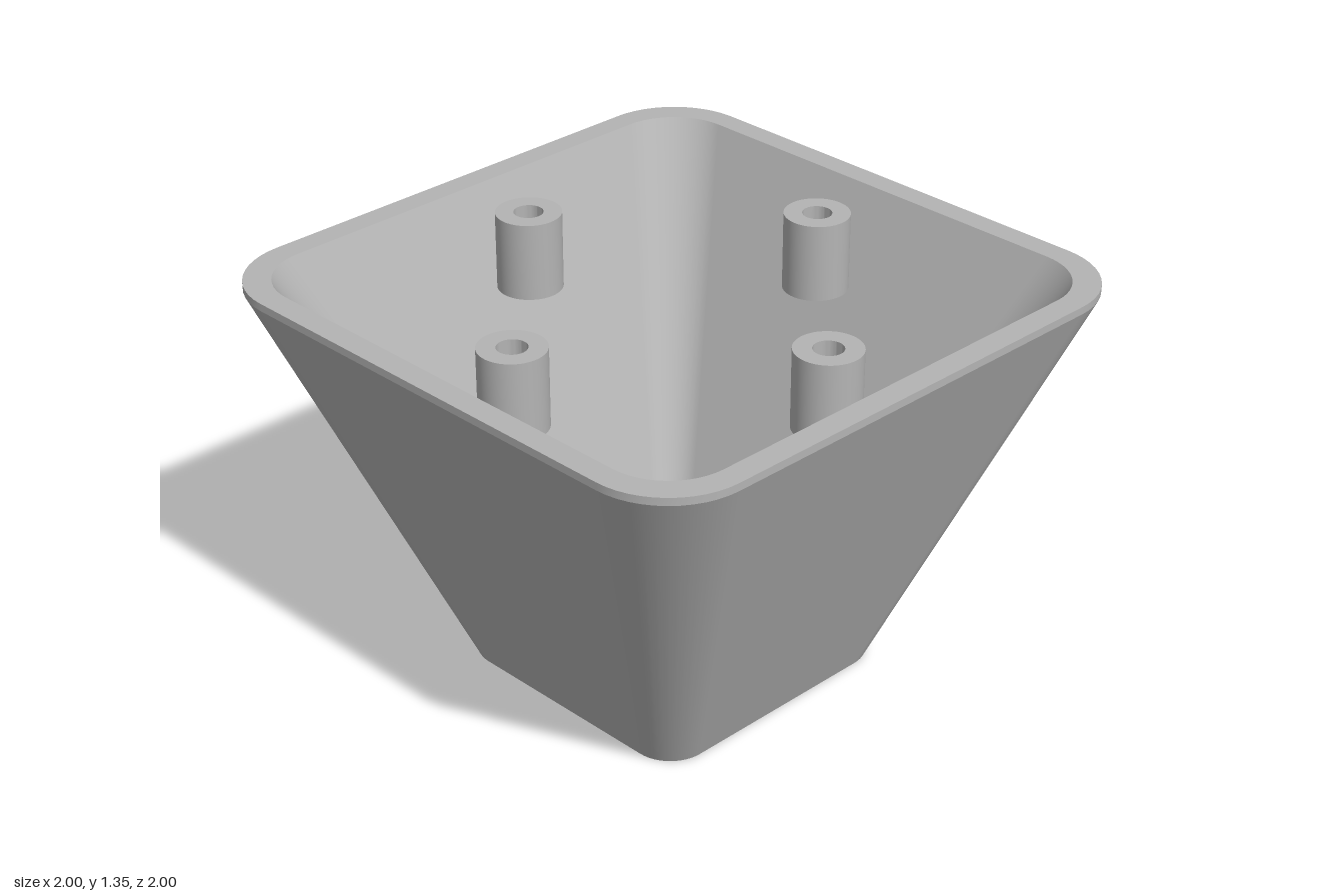
import * as THREE from 'three';
import { toCreasedNormals } from 'three/addons/utils/BufferGeometryUtils.js';

const HEIGHT = 1.35;
const CORNER_STEPS = 12;

// Rounded square ring at height y: half = half width, r = corner radius
function ring(half, r, y) {
  const points = [];
  for (let k = 0; k < 4; k++) {
    const cx = (k === 0 || k === 3 ? 1 : -1) * (half - r);
    const cz = (k < 2 ? 1 : -1) * (half - r);
    for (let j = 0; j <= CORNER_STEPS; j++) {
      const a = (k + j / CORNER_STEPS) * Math.PI / 2;
      points.push([cx + r * Math.cos(a), y, cz + r * Math.sin(a)]);
    }
  }
  return points;
}

// Closed band of faces between two rings
function band(from, to, flat = false) {
  const n = from.length;
  const index = [];
  for (let i = 0; i < n; i++) {
    const j = (i + 1) % n;
    index.push(i, n + i, j, j, n + i, n + j);
  }
  let geo = new THREE.BufferGeometry();
  geo.setAttribute('position', new THREE.Float32BufferAttribute([...from, ...to].flat(), 3));
  geo.setIndex(index);
  if (flat) geo = geo.toNonIndexed();
  geo.computeVertexNormals();
  return geo;
}

export function createModel() {
  const model = new THREE.Group();
  model.name = 'taperedHousing';
  const grey = new THREE.MeshStandardMaterial({ color: 0xb4b4b4 });
  grey.name = 'plain grey';

  const add = (name, geo) => {
    const mesh = new THREE.Mesh(geo, grey);
    mesh.name = name;
    model.add(mesh);
    return mesh;
  };

  // Section through the shell, from the foot up and over into the cavity
  const foot = ring(0.485, 0.13, 0);
  const lipBase = ring(1, 0.27, HEIGHT - 0.025);
  const rimOuter = ring(1, 0.27, HEIGHT);
  const rimInner = ring(0.92, 0.21, HEIGHT);
  const ledgeOuter = ring(0.405, 0.1, 0.31);
  const holeTop = ring(0.345, 0, 0.31);
  const holeBottom = ring(0.345, 0, 0);

  add('outerWall', band(foot, lipBase));
  add('lip', band(lipBase, rimOuter));
  add('rim', band(rimOuter, rimInner));
  add('innerWall', band(rimInner, ledgeOuter));
  add('ledge', band(ledgeOuter, holeTop));
  add('squareHole', band(holeTop, holeBottom, true));
  add('footFace', band(holeBottom, foot));

  // Four hollow screw posts, level with the rim
  const postHeight = 0.26;
  const shape = new THREE.Shape().absarc(0, 0, 0.107, 0, Math.PI * 2);
  shape.holes.push(new THREE.Path().absarc(0, 0, 0.048, 0, Math.PI * 2, true));
  const extruded = new THREE.ExtrudeGeometry(shape, {
    depth: postHeight, bevelEnabled: false, curveSegments: 32,
  });
  extruded.rotateX(-Math.PI / 2);
  const postGeo = toCreasedNormals(extruded, 0.6);
  for (let k = 0; k < 4; k++) {
    const a = k * Math.PI / 2;
    add('screwPost', postGeo)
      .position.set(0.648 * Math.cos(a), HEIGHT - postHeight, 0.648 * Math.sin(a));
  }
  return model;
}
